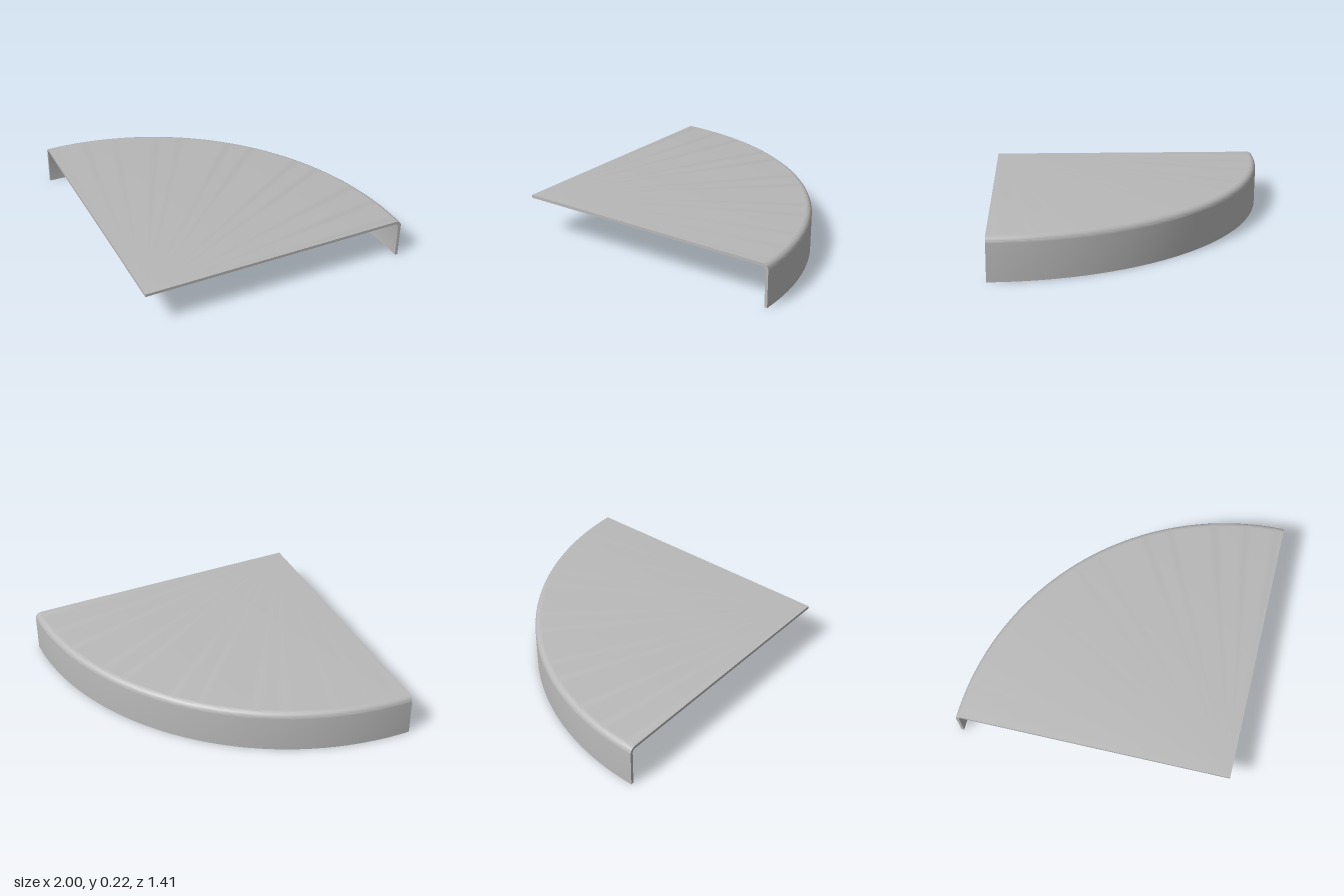
import * as THREE from 'three';
import { toCreasedNormals } from 'three/addons/utils/BufferGeometryUtils.js';

const R = Math.SQRT2;        // outer radius of the quarter circle
const H = 0.215;             // overall height
const T = 0.015;             // sheet thickness
const APEX_Z = R / 2;        // sector corner sits at the front
const START = Math.PI * 0.75, SWEEP = Math.PI / 2;

// Quarter-circle fillet points, from angle a0 to a1
function fillet(cx, cy, r, a0, a1, n = 6) {
  return Array.from({ length: n + 1 }, (_, i) => {
    const a = a0 + (a1 - a0) * i / n;
    return new THREE.Vector2(cx + r * Math.cos(a), cy + r * Math.sin(a));
  });
}

export function createModel() {
  const model = new THREE.Group();
  model.name = 'quarterRoundCover';
  const grey = new THREE.MeshStandardMaterial({ color: 0xb8b8b8, side: THREE.DoubleSide });
  grey.name = 'grey';

  function add(name, geometry) {
    const mesh = new THREE.Mesh(geometry, grey);
    mesh.name = name;
    model.add(mesh);
    return mesh;
  }

  // Closed section: thin top sheet turning down into the rim wall
  const fr = 0.032;
  const section = [
    new THREE.Vector2(0.0005, H - T),
    ...fillet(R - fr, H - fr, fr - T, Math.PI / 2, 0),
    new THREE.Vector2(R - T, 0),
    new THREE.Vector2(R, 0),
    ...fillet(R - fr, H - fr, fr, 0, Math.PI / 2),
    new THREE.Vector2(0.0005, H),
  ];

  // Top sheet and curved rim
  const shell = new THREE.LatheGeometry([...section, section[0].clone()], 64, START, SWEEP);
  add('topAndRim', toCreasedNormals(shell, 0.5)).position.z = APEX_Z;

  // Flat cut edges on both straight sides
  [['leftCutEdge', START], ['rightCutEdge', START + SWEEP]].forEach(([name, phi]) => {
    const cap = add(name, new THREE.ShapeGeometry(new THREE.Shape(section)));
    cap.position.z = APEX_Z;
    cap.rotation.y = phi - Math.PI / 2;
  });

  // Small bar standing inward from the inside of the rim
  const angle = 0.175, inner = 1.25, outer = R - T / 2;
  const mid = (inner + outer) / 2;
  const bar = add('innerBar', new THREE.BoxGeometry(0.096, 0.026, outer - inner));
  bar.position.set(mid * Math.sin(angle), 0.143, APEX_Z - mid * Math.cos(angle));
  bar.rotation.y = -angle;

  return model;
}
